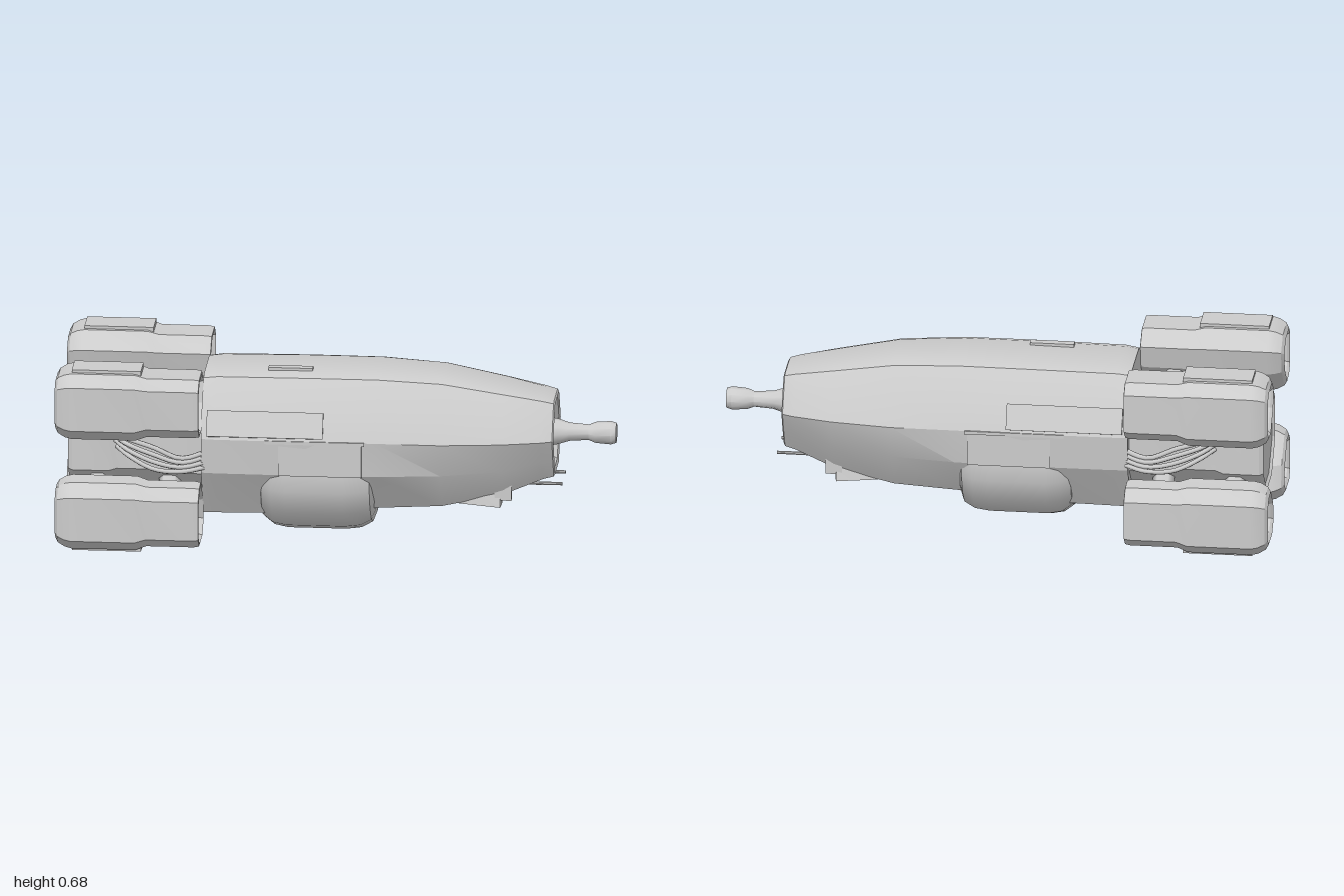
import * as THREE from 'three';
import { toCreasedNormals } from 'three/addons/utils/BufferGeometryUtils.js';

const MID = 0.34; // height of the engine symmetry plane
const material = new THREE.MeshStandardMaterial({ color: 0xcccccc });

function add(parent, geometry, name) {
  const mesh = new THREE.Mesh(geometry, material);
  mesh.name = name;
  parent.add(mesh);
  return mesh;
}

// Skin over sections { x, pts: [[z, y], ...] } with both ends capped
function loft(sections, crease = 0.45) {
  const pos = [];
  const put = (s, j) => {
    const [z, y] = s.pts[j % s.pts.length];
    pos.push(s.x, y, z);
  };
  const n = sections[0].pts.length;
  for (let i = 0; i < sections.length - 1; i++) {
    const a = sections[i], b = sections[i + 1];
    for (let j = 0; j < n; j++) {
      put(a, j); put(a, j + 1); put(b, j + 1);
      put(a, j); put(b, j + 1); put(b, j);
    }
  }
  const first = sections[0], last = sections[sections.length - 1];
  for (let j = 1; j < n - 1; j++) {
    put(first, 0); put(first, j + 1); put(first, j);
    put(last, 0); put(last, j); put(last, j + 1);
  }
  const g = new THREE.BufferGeometry();
  g.setAttribute('position', new THREE.Float32BufferAttribute(pos, 3));
  return toCreasedNormals(g, crease);
}

// Half outline (top to bottom, z > 0) mirrored to a full one
const mirror = half => [...half, ...half.map(([z, y]) => [-z, y]).reverse()];
const scaled = (pts, s, cz, cy) => pts.map(([z, y]) => [cz + (z - cz) * s, cy + (y - cy) * s]);
const ring = (n, rz, ry, cy) => Array.from({ length: n }, (_, i) => {
  const a = (i + 0.5) / n * Math.PI * 2;
  return [Math.sin(a) * rz, cy + Math.cos(a) * ry];
});

function box(parent, name, x0, x1, y0, y1, z0, z1) {
  const m = add(parent, new THREE.BoxGeometry(x1 - x0, y1 - y0, z1 - z0), name);
  m.position.set((x0 + x1) / 2, (y0 + y1) / 2, (z0 + z1) / 2);
  return m;
}

function tube(parent, name, points, r) {
  const curve = new THREE.CatmullRomCurve3(points.map(p => new THREE.Vector3(...p)));
  add(parent, new THREE.TubeGeometry(curve, 16, r, 6), name);
}

// Round part turned about the x axis, profile of [radius, x]
function turned(parent, name, profile, y, z, sides) {
  const g = new THREE.LatheGeometry(profile.map(([r, x]) => new THREE.Vector2(r, x)), sides);
  g.rotateZ(-Math.PI / 2);
  const m = add(parent, toCreasedNormals(g, 0.7), name);
  m.position.set(0, y, z);
}

function makeHull(ship) {
  const section = (x, ...half) => ({ x, pts: mirror(half) });
  const nose = section(0.78, [0.06, 0.532], [0.09, 0.527], [0.125, 0.47], [0.16, 0.405], [0.125, 0.33], [0.08, 0.25]);
  const inset = (x, s) => ({ x, pts: scaled(nose.pts, s, 0, 0.39) });
  add(ship, loft([
    section(-0.48, [0.1, 0.615], [0.135, 0.605], [0.21, 0.51], [0.25, 0.41], [0.24, 0.28], [0.14, 0.10]),
    section(-0.43, [0.1, 0.622], [0.14, 0.612], [0.212, 0.51], [0.255, 0.41], [0.245, 0.28], [0.14, 0.10]),
    section(-0.1, [0.1, 0.627], [0.142, 0.615], [0.214, 0.51], [0.257, 0.41], [0.247, 0.28], [0.14, 0.105]),
    section(0.15, [0.1, 0.627], [0.14, 0.615], [0.212, 0.51], [0.253, 0.41], [0.237, 0.28], [0.13, 0.13]),
    section(0.38, [0.09, 0.615], [0.13, 0.602], [0.195, 0.505], [0.24, 0.405], [0.21, 0.28], [0.12, 0.14]),
    section(0.6, [0.08, 0.573], [0.112, 0.563], [0.168, 0.49], [0.212, 0.405], [0.17, 0.29], [0.105, 0.185]),
    section(0.74, [0.065, 0.543], [0.096, 0.537], [0.14, 0.475], [0.177, 0.405], [0.135, 0.32], [0.085, 0.24]),
    nose, inset(0.785, 0.94), inset(0.78, 0.84), inset(0.735, 0.66),
  ], 0.4), 'hull');

  // Armour plates on the sides and roof
  for (const s of [1, -1]) {
    const plate = box(ship, 'sidePlate', -0.46, -0.04, 0.415, 0.51, s * 0.23 - 0.012, s * 0.23 + 0.012);
    plate.rotation.x = -s * 0.41;
    box(ship, 'sideHatch', -0.2, 0.1, 0.28, 0.4, s * 0.24 - 0.015, s * 0.24 + 0.015);
    box(ship, 'hatchRail', -0.25, 0.11, 0.4, 0.412, s * 0.25 - 0.01, s * 0.25 + 0.01);
  }
  box(ship, 'roofPlate', -0.25, -0.09, 0.61, 0.636, 0.06, 0.09);
}

function makeBelly(ship) {
  // Rounded pod under the hull
  const stations = [[-0.28, 0.68], [-0.268, 0.84], [-0.23, 0.96], [-0.18, 1],
    [0.03, 1], [0.085, 0.97], [0.125, 0.88], [0.14, 0.72]];
  add(ship, loft(stations.map(([x, s]) => ({ x, pts: ring(16, 0.252 * s, 0.248 * s, 0.265) })), 0.6), 'bellyPod');
}

function makeNose(ship) {
  // Frame around the gun and the main gun itself
  const frame = mirror([[0.07, 0.48], [0.09, 0.4], [0.085, 0.29]]);
  const at = (x, s) => ({ x, pts: scaled(frame, s, 0, 0.39) });
  add(ship, loft([at(0.73, 1), at(0.765, 1), at(0.765, 0.86), at(0.75, 0.8)]), 'gunFrame');
  turned(ship, 'mainGun', [[0, 0.73], [0.055, 0.74], [0.046, 0.79], [0.033, 0.83], [0.028, 0.9],
    [0.038, 0.925], [0.042, 0.98], [0.036, 1], [0, 1]], 0.395, 0, 10);

  // Chin turret bay with a lip, side cheeks and twin guns
  const bay = mirror([[0.1, 0.25], [0.125, 0.14]]);
  const rear = mirror([[0.1, 0.25], [0.115, 0.15]]);
  const inner = scaled(bay, 0.85, 0, 0.2);
  add(ship, loft([{ x: 0.44, pts: rear }, { x: 0.59, pts: bay },
    { x: 0.595, pts: inner }, { x: 0.5, pts: inner }]), 'chinBay');
  for (const s of [1, -1]) {
    turned(ship, 'chinGun', [[0, 0.52], [0.02, 0.52], [0.02, 0.64], [0.007, 0.66],
      [0.006, 0.81], [0, 0.81]], 0.22, s * 0.07, 8);
    box(ship, 'chinCheek', 0.57, 0.63, 0.165, 0.25, s * 0.105 - 0.012, s * 0.105 + 0.012);
  }
}

function makeCore(ship) {
  // Engine block between the four nacelles
  const at = (x, r) => ({ x, pts: ring(8, r, r, MID) });
  add(ship, loft([at(-0.955, 0.185), at(-0.965, 0.195), at(-0.95, 0.205), at(-0.82, 0.205),
    at(-0.79, 0.19), at(-0.67, 0.19), at(-0.62, 0.205), at(-0.46, 0.21)]), 'engineCore');

  // Sagging hoses along each side
  for (const s of [1, -1]) for (let i = 0; i < 4; i++) {
    const d = i * 0.025;
    tube(ship, 'hose', [[-0.45, 0.3 + d * 0.8, s * 0.225], [-0.55, 0.29 + d * 0.6, s * (0.268 - d / 4)],
      [-0.65, 0.295 + d, s * (0.26 - d / 4)], [-0.74 - d / 3, 0.33 + d, s * 0.225],
      [-0.79 - d / 3, 0.35 + d, s * 0.17]], 0.009);
  }
}

// One corner nacelle; sz and sy choose the corner
function makeNacelle(ship, sz, sy) {
  const group = new THREE.Group();
  group.name = 'nacelle';
  // Outline as z and height above the symmetry plane
  const outline = [[0.2, 0.316], [0.325, 0.316], [0.365, 0.28], [0.365, 0.135],
    [0.32, 0.095], [0.25, 0.09], [0.16, 0.18], [0.14, 0.265]];
  const place = pts => {
    const p = pts.map(([z, y]) => [z * sz, MID + y * sy]);
    return sz * sy > 0 ? p : p.reverse();
  };
  const at = (x, s) => ({ x, pts: place(scaled(outline, s, 0.262, 0.205)) });
  add(group, loft([
    at(-0.93, 0.62), at(-0.99, 0.72), at(-1, 0.8), at(-0.99, 0.95), at(-0.965, 1.07), at(-0.94, 1.12),
    at(-0.71, 1.12), at(-0.67, 1.0), at(-0.5, 1.0), at(-0.48, 0.97), at(-0.478, 0.91),
    at(-0.5, 0.85), at(-0.58, 0.82),
  ], 0.4), 'nacelleShell');

  // Raised plate on the outer face
  const plate = box(group, 'nacellePlate', -0.94, -0.69, -0.025, 0.025, -0.055, 0.055);
  plate.position.set(-0.815, MID + sy * 0.315, sz * 0.262);

  // Struts to the core
  for (const x of [-0.86, -0.6]) {
    tube(group, 'strut', [[x, MID + sy * 0.08, sz * 0.1], [x, MID + sy * 0.175, sz * 0.225]], 0.04);
  }
  ship.add(group);
}

export function createModel() {
  const ship = new THREE.Group();
  ship.name = 'spaceship';
  makeHull(ship);
  makeBelly(ship);
  makeNose(ship);
  makeCore(ship);
  for (const sz of [1, -1]) for (const sy of [1, -1]) makeNacelle(ship, sz, sy);
  return ship;
}
